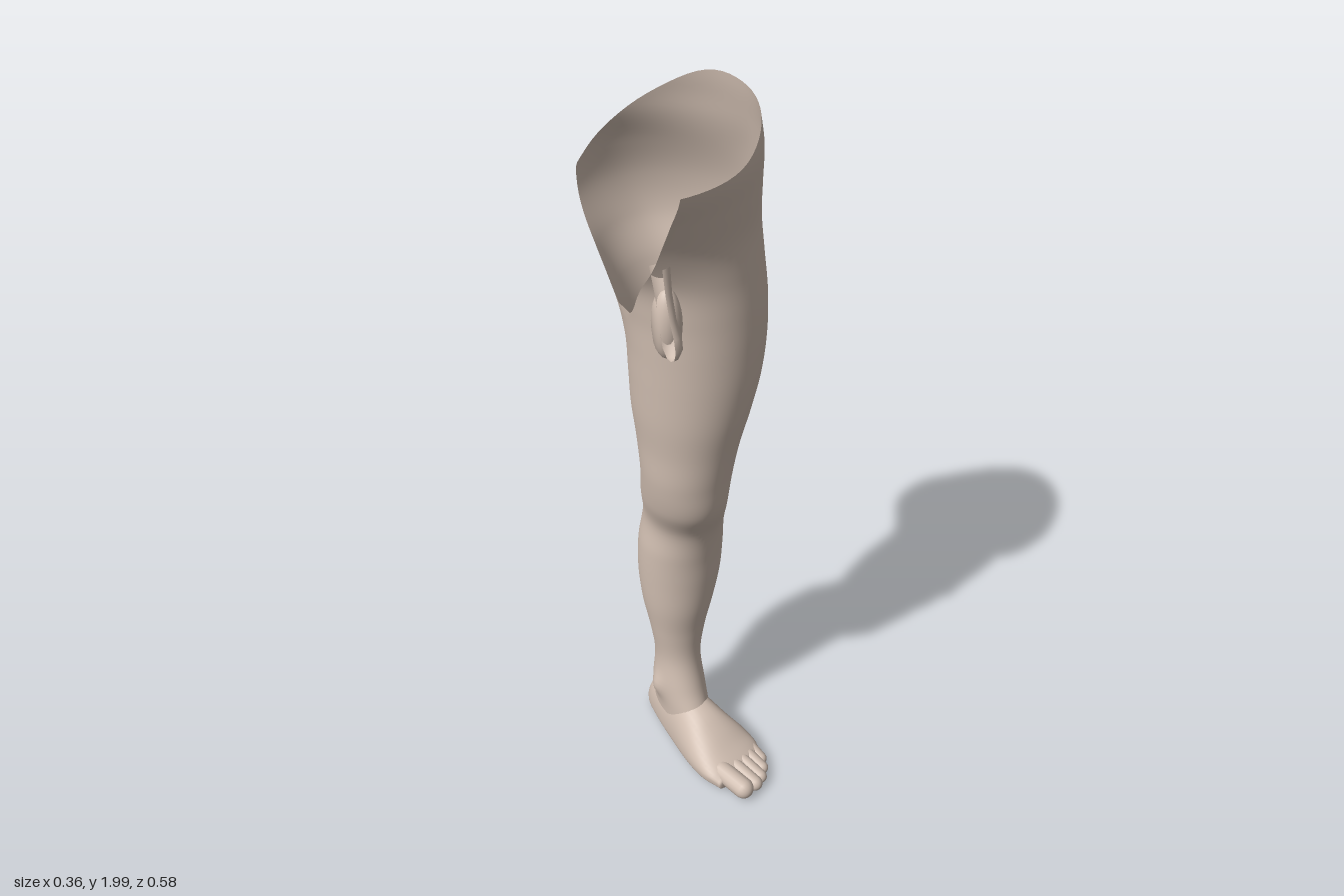
import * as THREE from 'three';

const CUT = -0.18; // plane where the pelvis is cut
const { smoothstep } = THREE.MathUtils;

// Smooth interpolation through evenly spaced rows of numbers
function sample(table, f) {
  const last = table.length - 1;
  const i = Math.min(Math.max(Math.floor(f), 0), last - 1);
  const t = Math.min(Math.max(f - i, 0), 1);
  const row = k => table[Math.min(Math.max(k, 0), last)];
  return table[i].map((_, c) => {
    const p0 = row(i - 1)[c], p1 = row(i)[c], p2 = row(i + 1)[c], p3 = row(i + 2)[c];
    return p1 + 0.5 * t * (p2 - p0 + t * (2 * p0 - 5 * p1 + 4 * p2 - p3 + t * (3 * (p1 - p2) + p3 - p0)));
  });
}

// Closed rings joined into a skin; faces lying wholly on the cut are left open
function loft(rows, cols, point, flip) {
  const pos = [], index = [];
  for (let j = 0; j <= rows; j++)
    for (let i = 0; i < cols; i++) pos.push(...point(j / rows, (i / cols) * Math.PI * 2));
  const tri = (a, b, c) => {
    if ([a, b, c].every(v => pos[v * 3] <= CUT + 1e-6)) return;
    index.push(a, ...(flip ? [c, b] : [b, c]));
  };
  for (let j = 0; j < rows; j++)
    for (let i = 0; i < cols; i++) {
      const k = (i + 1) % cols;
      const a = j * cols + i, b = j * cols + k, c = a + cols, d = b + cols;
      tri(a, b, c);
      tri(b, d, c);
    }
  const g = new THREE.BufferGeometry();
  g.setAttribute('position', new THREE.Float32BufferAttribute(pos, 3));
  g.setIndex(index);
  g.computeVertexNormals();
  return g;
}

// Leg sections every 0.1 from y = 0.1: inner x, outer x, back z, front z
const LEG = [
  [-0.082, 0.046, -0.193, 0.05], [-0.089, 0.047, -0.176, 0.006], [-0.083, 0.043, -0.165, -0.022],
  [-0.095, 0.06, -0.175, -0.02], [-0.11, 0.086, -0.205, -0.005], [-0.116, 0.108, -0.224, 0.005],
  [-0.115, 0.111, -0.222, 0.016], [-0.106, 0.1, -0.207, 0.038], [-0.13, 0.084, -0.175, 0.088],
  [-0.144, 0.087, -0.147, 0.106], [-0.15, 0.106, -0.163, 0.12], [-0.16, 0.135, -0.18, 0.136],
  [-0.165, 0.16, -0.186, 0.145], [-0.17, 0.172, -0.19, 0.148], [-0.182, 0.177, -0.222, 0.148],
  [-0.212, 0.174, -0.27, 0.148], [-0.29, 0.165, -0.288, 0.16], [-0.36, 0.15, -0.272, 0.195],
  [-0.46, 0.132, -0.24, 0.235], [-0.475, 0.116, -0.22, 0.23],
];

// Waist rim height every 30 degrees, starting inward (-x) and passing the back
const RIM = [[1.76], [1.74], [1.75], [1.83], [1.93], [1.997], [1.99], [1.955], [1.905], [1.89], [1.89], [1.83], [1.76]];

function legPoint(v, a) {
  // a = 0 points to +x, a quarter turn points to +z
  const rim = sample(RIM, (((a + Math.PI) % (Math.PI * 2)) / (Math.PI * 2)) * 12)[0];
  const y = v < 0.75 ? 0.1 + (v / 0.75) * 1.4 : 1.5 + ((v - 0.75) / 0.25) * (rim - 1.5);
  const [x0, x1, z0, z1] = sample(LEG, (y - 0.1) / 0.1);
  const cx = (x0 + x1) / 2, rx = (x1 - x0) / 2, cz = (z0 + z1) / 2, rz = (z1 - z0) / 2;
  const c = Math.cos(a), s = Math.sin(a);
  const x = cx + rx * c;
  if (x <= CUT) {
    const k = (CUT - cx) / rx;
    return [CUT, y, cz + Math.sign(s) * rz * Math.sqrt(Math.max(0, 1 - k * k))];
  }
  // the buttock is flatter towards its outer side
  const flat = c > 0 && s < 0
    ? 0.3 * c * c * smoothstep(y, 1.35, 1.6) * (1 - smoothstep(y, 1.8, 1.95)) : 0;
  const z = cz + rz * s * (1 - flat);
  // ankle bones, the inner one higher
  const bone = (y - (c > 0 ? 0.16 : 0.19)) / 0.035;
  const ankle = 0.014 * c * Math.exp(-bone * bone - ((z + 0.09) / 0.03) ** 2);
  return [x + ankle, y, z];
}

// Foot sections from heel to toe roots: z, inner x, outer x, top y
const FOOT = [
  [-0.205, -0.03, -0.01, 0.065], [-0.2, -0.06, 0.025, 0.095], [-0.18, -0.073, 0.038, 0.13],
  [-0.14, -0.08, 0.044, 0.15], [-0.08, -0.086, 0.05, 0.16], [-0.01, -0.09, 0.06, 0.17],
  [0.05, -0.093, 0.08, 0.15], [0.1, -0.092, 0.1, 0.12], [0.15, -0.083, 0.11, 0.088],
  [0.19, -0.065, 0.11, 0.066], [0.205, -0.05, 0.1, 0.056], [0.208, 0.02, 0.03, 0.045],
];

function footPoint(v, a) {
  const [z, x0, x1, top] = sample(FOOT, v * (FOOT.length - 1));
  const c = Math.cos(a), s = Math.sin(a);
  const mid = Math.min(0.045, top * 0.6);
  const endFade = Math.min(1, v * 12, (1 - v) * 12);
  const x = (x0 + x1) / 2 + ((x1 - x0) / 2) * Math.sign(c) * Math.pow(Math.abs(c), s < 0 ? 0.6 : 0.9);
  const y = s > 0 ? mid + (top - mid) * s
    : mid - (mid - 0.01) * Math.pow(-s, 0.6) * (0.5 + 0.5 * endFade);
  // toe line slants back towards the little toe
  const slant = smoothstep(z, 0, 0.2) * 0.35;
  return [x, y, z - slant * (x + 0.02)];
}

export function createModel() {
  const model = new THREE.Group();
  model.name = 'legStudy';
  const skin = new THREE.MeshStandardMaterial({ color: 0xcfbdb0, side: THREE.DoubleSide });
  skin.name = 'skin';
  const add = (name, geometry, parent = model) => {
    const mesh = new THREE.Mesh(geometry, skin);
    mesh.name = name;
    parent.add(mesh);
    return mesh;
  };

  // Leg and open half pelvis
  add('legAndHip', loft(120, 72, legPoint, true));

  // Foot
  add('foot', loft(44, 40, footPoint, false));

  // Toes: root x, root z, tip x, tip z, radius
  const toes = new THREE.Group();
  toes.name = 'toes';
  model.add(toes);
  [
    [-0.03, 0.175, -0.008, 0.259, 0.029], [0.012, 0.175, 0.034, 0.254, 0.021],
    [0.041, 0.165, 0.061, 0.238, 0.019], [0.066, 0.15, 0.083, 0.212, 0.018],
    [0.088, 0.13, 0.099, 0.18, 0.017],
  ].forEach(([x0, z0, x1, z1, r], i) => {
    const a = new THREE.Vector3(x0, 0.046, z0), b = new THREE.Vector3(x1, 0.012 + r, z1);
    const toe = add('toe' + (i + 1), new THREE.CapsuleGeometry(r, a.distanceTo(b), 8, 16), toes);
    toe.position.copy(a).lerp(b, 0.5);
    toe.quaternion.setFromUnitVectors(new THREE.Vector3(0, 1, 0), b.sub(a).normalize());
  });

  // Simplified statue anatomy, halved at the cut plane
  const profile = [[0, -0.195], [0.018, -0.19], [0.031, -0.17], [0.033, -0.14], [0.027, -0.1], [0.027, -0.04], [0.032, 0.02]]
    .map(([r, y]) => new THREE.Vector2(r, y));
  const front = add('anatomyFront', new THREE.LatheGeometry(profile, 16, 0, Math.PI));
  front.position.set(CUT, 1.66, 0.125);
  front.rotation.x = -0.3;
  const lower = new THREE.SphereGeometry(1, 24, 16);
  lower.scale(0.036, 0.09, 0.038);
  lower.translate(-0.153, 1.53, 0.115);
  const p = lower.attributes.position;
  for (let i = 0; i < p.count; i++) p.setX(i, Math.max(CUT, p.getX(i)));
  add('anatomyLower', lower);

  return model;
}
